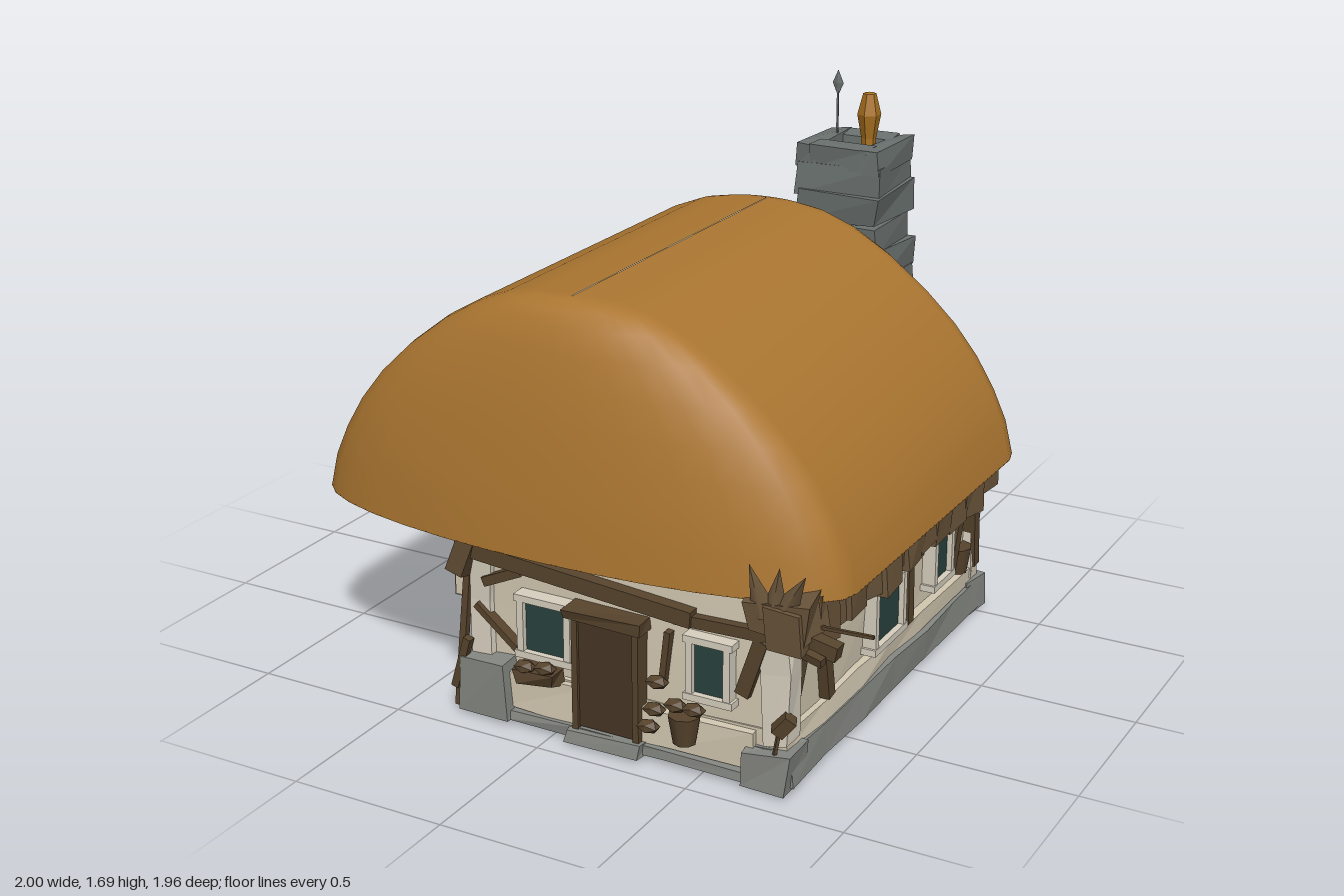
import * as THREE from 'three';

const paint = (name, color, extra = {}) => {
  const m = new THREE.MeshStandardMaterial({ color, ...extra });
  m.name = name;
  return m;
};

export function createModel() {
  const root = new THREE.Group();
  root.name = 'cottage';
  const M = {
    roof: paint('golden thatch', 0xab7631),
    thatch: paint('dark thatch', 0x69543a, { side: THREE.DoubleSide }),
    plaster: paint('plaster', 0xd4c9b2),
    frame: paint('pale trim', 0xd8d0c0),
    base: paint('foundation stone', 0x868883),
    stone: paint('chimney stone', 0x6a716f),
    timber: paint('timber', 0x57442d),
    door: paint('door wood', 0x463626),
    glass: paint('window glass', 0x29433f),
    clay: paint('clay', 0xa8701f),
  };

  let seed = 7;
  const rnd = (a = -1, b = 1) => {
    seed = (seed * 16807) % 2147483647;
    return a + (b - a) * (seed / 2147483647);
  };
  const add = (name, mat, geo, parent = root) => {
    const mesh = new THREE.Mesh(geo, mat);
    mesh.name = name;
    parent.add(mesh);
    return mesh;
  };

  // Box given by its extents; rough > 0 shifts the shared corners for a hewn look
  function box(name, mat, [x0, x1], [y0, y1], [z0, z1], rough = 0) {
    const n = (l) => (rough ? Math.max(1, Math.round(l / 0.25)) : 1);
    let g = new THREE.BoxGeometry(x1 - x0, y1 - y0, z1 - z0, n(x1 - x0), n(y1 - y0), n(z1 - z0));
    g.translate((x0 + x1) / 2, (y0 + y1) / 2, (z0 + z1) / 2);
    if (rough) {
      const p = g.attributes.position, moved = new Map();
      for (let i = 0; i < p.count; i++) {
        const key = [p.getX(i), p.getY(i), p.getZ(i)].map((v) => v.toFixed(3)).join();
        if (!moved.has(key)) moved.set(key, [rnd() * rough, rnd() * rough, rnd() * rough]);
        const d = moved.get(key);
        p.setXYZ(i, p.getX(i) + d[0], Math.max(0.012, p.getY(i) + d[1]), p.getZ(i) + d[2]);
      }
      g = g.toNonIndexed();
      g.computeVertexNormals();
    }
    return add(name, mat, g);
  }

  // Square bar between two points
  function bar(name, mat, a, b, w, d = w) {
    const A = new THREE.Vector3(...a), B = new THREE.Vector3(...b);
    const mesh = add(name, mat, new THREE.BoxGeometry(w, A.distanceTo(B), d));
    mesh.position.copy(A).add(B).multiplyScalar(0.5);
    mesh.quaternion.setFromUnitVectors(new THREE.Vector3(0, 1, 0), B.sub(A).normalize());
    return mesh;
  }

  // Roof: stacked rings with straight sides and rounded ends [y, half width, front z, back z]
  const levels = [
    [0.59, 0.897, 0.97, -0.69], [0.7, 0.87, 0.962, -0.682], [0.8, 0.825, 0.95, -0.668],
    [0.9, 0.765, 0.936, -0.652], [1.0, 0.685, 0.92, -0.635], [1.1, 0.58, 0.9, -0.614],
    [1.2, 0.45, 0.874, -0.585], [1.27, 0.33, 0.848, -0.558], [1.31, 0.23, 0.818, -0.528],
    [1.328, 0.14, 0.785, -0.495], [1.335, 0.001, 0.76, -0.46],
  ];
  const N = 16, ringSize = 2 * (N + 1), pos = [], idx = [];
  for (const [y, w, zf, zb] of levels) {
    for (let end = 0; end < 2; end++) {
      for (let i = 0; i <= N; i++) {
        const a = -Math.PI / 2 + Math.PI * (i / N + end);
        const bulge = Math.pow(Math.abs(Math.cos(a)), 0.88);
        const z = end ? -0.43 + (zb + 0.43) * bulge : 0.72 + (zf - 0.72) * bulge;
        pos.push(w * Math.sin(a), y, z);
      }
    }
  }
  for (let r = 0; r < levels.length - 1; r++) {
    for (let j = 0; j < ringSize; j++) {
      const k = (j + 1) % ringSize;
      const a = r * ringSize + j, b = r * ringSize + k, c = b + ringSize, d = a + ringSize;
      idx.push(a, b, c, a, c, d);
    }
  }
  const roofGeo = new THREE.BufferGeometry();
  roofGeo.setAttribute('position', new THREE.Float32BufferAttribute(pos, 3));
  roofGeo.setIndex(idx);
  roofGeo.computeVertexNormals();
  add('roof', M.roof, roofGeo);

  // Underside of the roof
  const under = new THREE.Shape();
  for (let j = 0; j < ringSize; j++) {
    under[j ? 'lineTo' : 'moveTo'](pos[3 * j], pos[3 * j + 2]);
  }
  add('roofUnderside', M.thatch, new THREE.ShapeGeometry(under).rotateX(Math.PI / 2).translate(0, 0.592, 0));

  // Main house
  box('walls', M.plaster, [-0.28, 0.74], [0.1, 0.595], [-0.5, 0.86], 0.008);
  box('foundation', M.base, [-0.3, 0.78], [0.018, 0.125], [-0.53, 0.88], 0.008);
  box('plinth', M.plaster, [-0.29, 0.765], [0.12, 0.18], [-0.515, 0.87], 0.008);
  box('frontPlinth', M.plaster, [-0.17, 0.66], [0.05, 0.17], [0.8, 0.895], 0.006);
  box('frontSill', M.base, [-0.17, 0.66], [0.018, 0.05], [0.8, 0.91], 0.006);
  box('floor', M.plaster, [-0.26, 0.74], [0.004, 0.05], [-0.49, 0.86]);
  for (const [x0, x1, z0, z1, h] of [[-0.32, -0.15, 0.78, 0.92, 0.2], [0.64, 0.785, 0.78, 0.93, 0.13],
    [0.64, 0.785, -0.55, -0.42, 0.14], [-0.32, -0.18, -0.55, -0.42, 0.15]]) {
    box('cornerStone', M.base, [x0, x1], [0.01, h], [z0, z1], 0.012);
  }
  for (const [x, z] of [[-0.265, 0.845], [0.725, 0.845], [0.725, -0.485], [-0.265, -0.485]]) {
    box('cornerPost', M.frame, [x - 0.04, x + 0.04], [0.15, 0.59], [z - 0.04, z + 0.04], 0.012);
  }

  // Side annex
  box('annexWalls', M.plaster, [-0.8, -0.29], [0.02, 0.595], [-0.16, 0.25]);
  box('annexFoundation', M.base, [-0.806, -0.29], [0.014, 0.09], [-0.166, 0.245]);
  bar('annexBeam', M.timber, [-0.6, 0.02, 0.252], [-0.64, 0.5, 0.252], 0.045, 0.02);
  bar('annexPost', M.timber, [-0.695, 0.02, 0.25], [-0.695, 0.5, 0.25], 0.012);

  // Door with lintel and step
  box('door', M.door, [0.09, 0.285], [0.06, 0.41], [0.87, 0.91]);
  for (const x of [0.085, 0.29]) box('doorJamb', M.timber, [x - 0.01, x + 0.01], [0.05, 0.42], [0.86, 0.92]);
  box('doorLintel', M.timber, [0.05, 0.31], [0.405, 0.44], [0.86, 0.93], 0.006);
  box('doorStep', M.base, [0.06, 0.31], [0.015, 0.055], [0.88, 0.94], 0.006);

  // Window: pane and frame on a wall, turned about y
  function windowAt(x, y, z, w, h, turn) {
    const g = new THREE.Group();
    g.name = 'window';
    const part = (name, mat, pw, ph, pd, px, py, pz) =>
      add(name, mat, new THREE.BoxGeometry(pw, ph, pd).translate(px, py, pz), g);
    part('windowPane', M.glass, w, h, 0.02, 0, 0, 0.01);
    for (const s of [-1, 1]) {
      part('windowJamb', M.frame, 0.022, h + 0.04, 0.045, s * (w / 2 + 0.011), 0, 0.015);
      part('windowSill', M.frame, w + 0.06, 0.022, 0.05, 0, s * (h / 2 + 0.011), 0.015);
    }
    g.position.set(x, y, z);
    g.rotation.y = turn;
    root.add(g);
  }
  windowAt(-0.03, 0.335, 0.868, 0.14, 0.16, 0);
  windowAt(0.52, 0.335, 0.868, 0.1, 0.16, 0);
  windowAt(0.748, 0.31, 0.22, 0.18, 0.18, Math.PI / 2);
  windowAt(0.748, 0.33, -0.19, 0.11, 0.16, Math.PI / 2);
  windowAt(-0.288, 0.33, -0.3, 0.12, 0.16, -Math.PI / 2);

  // Timber framing [from, to, width]
  const beams = [
    [[-0.3, 0.54, 0.88], [0.46, 0.48, 0.88], 0.05], [[-0.25, 0.44, 0.87], [-0.12, 0.5, 0.87], 0.03],
    [[0.4, 0.47, 0.87], [0.74, 0.48, 0.87], 0.035], [[0.62, 0.28, 0.87], [0.68, 0.46, 0.87], 0.045],
    [[-0.28, 0.36, 0.87], [-0.12, 0.23, 0.87], 0.02], [[0.36, 0.25, 0.87], [0.38, 0.42, 0.87], 0.02],
    [[0.75, 0.19, 0.61], [0.75, 0.45, 0.66], 0.05], [[0.75, 0.19, 0.05], [0.75, 0.45, 0.06], 0.055],
    [[0.75, 0.18, -0.48], [0.75, 0.45, -0.46], 0.06], [[0.75, 0.22, -0.31], [0.75, 0.42, -0.38], 0.035],
    [[0.75, 0.24, 0.82], [0.75, 0.43, 0.74], 0.02], [[0.75, 0.43, 0.84], [0.75, 0.43, -0.48], 0.03],
    [[-0.28, 0.48, -0.505], [0.74, 0.5, -0.505], 0.045], [[-0.28, 0.31, -0.505], [0.74, 0.3, -0.505], 0.025],
    [[-0.2, 0.17, -0.505], [-0.08, 0.48, -0.505], 0.04], [[0.64, 0.17, -0.505], [0.5, 0.48, -0.505], 0.04],
    [[-0.285, 0.17, -0.42], [-0.285, 0.5, -0.39], 0.04],
    [[-0.285, 0.48, -0.5], [-0.285, 0.48, 0.85], 0.045], [[-0.285, 0.17, 0.5], [-0.285, 0.48, 0.62], 0.045],
  ];
  for (const [a, b, w] of beams) bar('timberBeam', M.timber, a, b, w, 0.04);

  // Ragged thatch below the eaves
  for (let i = 0; i < 14; i++) {
    const z = 0.87 - i * 0.104;
    const slack = i > 11 ? 0.03 : 0;
    box('eaveThatch', M.thatch, [0.71, 0.83 - slack + rnd() * 0.012], [0.445 + rnd() * 0.015, 0.6],
      [z - 0.062, z + 0.062], 0.012);
  }
  for (let i = 0; i < 6; i++) {
    const z = -0.2 + i * 0.09;
    box('annexEaveThatch', M.thatch, [-0.86, -0.77], [0.49 + rnd() * 0.015, 0.6], [z - 0.06, z + 0.06], 0.012);
    const x = -0.8 + i * 0.1;
    box('annexFrontThatch', M.thatch, [x - 0.06, x + 0.06], [0.49 + rnd() * 0.01, 0.6], [0.24, 0.31], 0.01);
  }
  box('cornerThatch', M.thatch, [0.64, 0.84], [0.49, 0.61], [0.78, 0.91], 0.02);

  // Chimney: plastered foot, rough stone courses and a hollow top
  box('chimneyFoot', M.base, [-0.02, 0.33], [0.01, 0.13], [-0.97, -0.57], 0.01);
  box('chimneyPlaster', M.plaster, [-0.015, 0.325], [0.12, 0.64], [-0.945, -0.59], 0.012);
  for (let i = 0; i < 8; i++) {
    const y = 0.63 + i * 0.098, t = i * 0.002, o = rnd() * 0.008;
    box('chimneyCourse', M.stone, [t + o, 0.32 - t + o], [y, y + 0.104], [-0.95 + t + o, -0.635 - t + o], 0.012);
  }
  for (const [xr, zr] of [[[0.005, 0.08], [-0.935, -0.66]], [[0.24, 0.305], [-0.935, -0.66]],
    [[0.06, 0.26], [-0.935, -0.865]], [[0.06, 0.26], [-0.735, -0.66]]]) {
    box('chimneyRim', M.stone, xr, [1.4, 1.475], zr, 0.006);
  }

  // Chimney pot and weather spike
  const pot = [[0.025, 1.4], [0.025, 1.49], [0.04, 1.57], [0.022, 1.64], [0, 1.645]];
  const potGeo = new THREE.LatheGeometry(pot.map((p) => new THREE.Vector2(...p)), 6).toNonIndexed();
  potGeo.computeVertexNormals();
  add('chimneyPot', M.clay, potGeo).position.set(0.21, 0, -0.79);
  bar('spikeRod', M.stone, [0.068, 1.42, -0.845], [0.068, 1.64, -0.845], 0.006);
  const tip = add('spikeTip', M.stone, new THREE.OctahedronGeometry(0.045));
  tip.scale.set(0.45, 1, 0.12);
  tip.position.set(0.068, 1.65, -0.845);

  // Branches, tufts and vines
  const twigs = [
    [[0.66, 0.52, 0.86], [0.91, 0.47, 0.86], 0.045], [[0.72, 0.515, 0.83], [1.0, 0.525, 0.83], 0.01],
    [[0.76, 0.47, 0.88], [0.88, 0.45, 0.9], 0.025], [[-0.84, 0.62, -0.15], [-0.985, 0.68, -0.24], 0.022],
    [[-0.985, 0.69, -0.24], [-0.99, 0.5, -0.24], 0.012], [[-0.9, 0.7, -0.24], [-1.0, 0.68, -0.24], 0.025],
    [[-0.87, 0.58, -0.2], [-0.89, 0.64, 0.15], 0.03], [[-0.83, 0.52, 0.02], [-0.84, 0.2, 0.06], 0.02],
    [[-0.83, 0.5, 0.12], [-0.83, 0.32, 0.1], 0.035], [[-0.31, 0.48, 0.87], [-0.34, 0.02, 0.9], 0.022],
    [[-0.3, 0.25, 0.9], [-0.35, 0.08, 0.9], 0.025], [[0.78, 0.25, 0.89], [0.74, 0.2, 0.9], 0.04],
    [[0.75, 0.22, 0.9], [0.73, 0.08, 0.91], 0.01], [[-0.3, 0.57, 0.87], [-0.33, 0.46, 0.9], 0.06],
  ];
  for (const [a, b, w] of twigs) bar('twig', M.timber, a, b, w);
  function tuft(x, y, z, len, lean) {
    const m = add('thatchTuft', M.thatch, new THREE.ConeGeometry(0.05, len, 4));
    m.position.set(x, y, z);
    m.rotation.z = lean;
    m.scale.z = 0.5;
  }
  for (const [x, lean] of [[0.68, 0.35], [0.74, -0.1], [0.79, -0.5]]) tuft(x, 0.63, 0.91, 0.16, lean);
  for (const [x, lean] of [[-0.88, 0.5], [-0.92, 0.9], [-0.95, 1.3]]) tuft(x, 0.67, -0.22, 0.1, lean);

  // Window box and flower pots with dry leaves
  box('windowBox', M.timber, [-0.11, 0.02], [0.17, 0.21], [0.88, 0.94], 0.012);
  for (const [x, y, z] of [[0.46, 0.11, 0.93], [0.74, 0.18, -0.4]]) {
    add('flowerPot', M.timber, new THREE.CylinderGeometry(0.05, 0.035, 0.09, 8)).position.set(x, y + 0.045, z);
  }
  for (const [x, y] of [[-0.08, 0.22], [-0.01, 0.23], [0.34, 0.13], [0.37, 0.28], [0.36, 0.19], [0.43, 0.22], [0.49, 0.22]]) {
    const m = add('dryLeaves', M.timber, new THREE.IcosahedronGeometry(0.035, 0));
    m.position.set(x, y, 0.93);
    m.scale.set(1.1, 0.6, 0.8);
  }
  return root;
}
